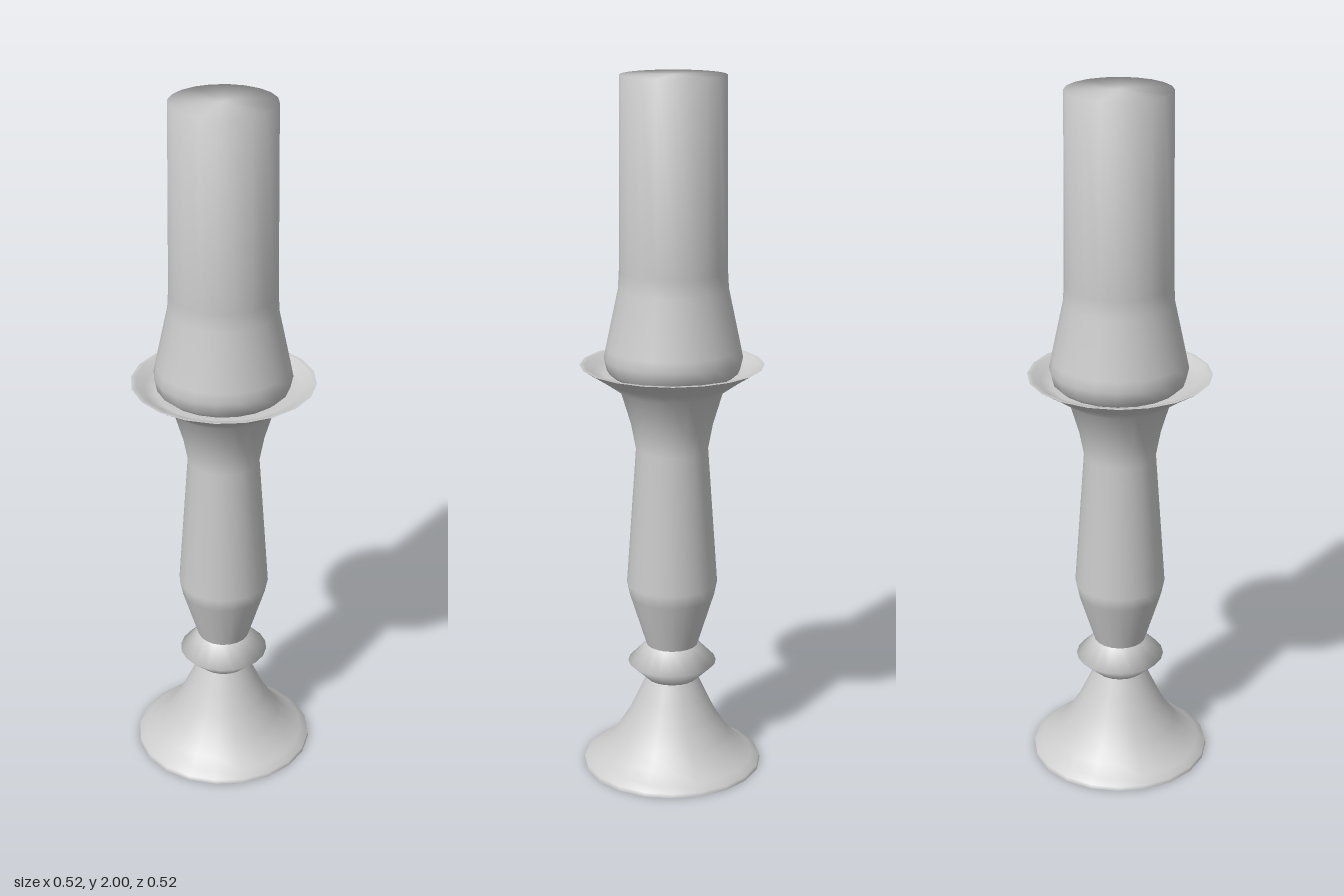
import * as THREE from 'three';

const SIDES = 20;
const material = new THREE.MeshStandardMaterial({ color: 0xcccccc, side: THREE.DoubleSide });

// Turned part from [radius, height] pairs, running up the outside
function turned(name, profile) {
  const points = profile.map(([r, y]) => new THREE.Vector2(r, y));
  const mesh = new THREE.Mesh(new THREE.LatheGeometry(points, SIDES), material);
  mesh.name = name;
  return mesh;
}

export function createModel() {
  const model = new THREE.Group();
  model.name = 'candlestick';

  // Flat underside, kept separate for a crisp edge
  model.add(turned('footUnderside', [[0, 0], [0.26, 0]]));

  // Flared foot
  model.add(turned('foot', [
    [0.26, 0], [0.258, 0.012], [0.235, 0.025], [0.2, 0.052], [0.165, 0.09],
    [0.128, 0.15], [0.1, 0.21], [0.075, 0.265],
  ]));

  // Pointed ring between foot and stem
  model.add(turned('collar', [[0.075, 0.265], [0.128, 0.315], [0.075, 0.37]]));

  // Tapered stem opening into the underside of the drip pan
  model.add(turned('stem', [
    [0.075, 0.37], [0.122, 0.52], [0.13, 0.56], [0.102, 0.96], [0.115, 1.03],
    [0.145, 1.13], [0.195, 1.165], [0.258, 1.205],
  ]));

  // Concave inside of the drip pan
  model.add(turned('dripPan', [
    [0.258, 1.205], [0.245, 1.205], [0.222, 1.188], [0.19, 1.175], [0, 1.17],
  ]));

  // Candle with a rounded base, flared foot and softly shaded top
  const candle = turned('candle', [
    [0.165, 1.172], [0.186, 1.19], [0.194, 1.225], [0.188, 1.255],
    [0.153, 1.42], [0.15, 1.47], [0.145, 2], [0, 2],
  ]);
  candle.position.z = -0.004;
  model.add(candle);

  return model;
}
